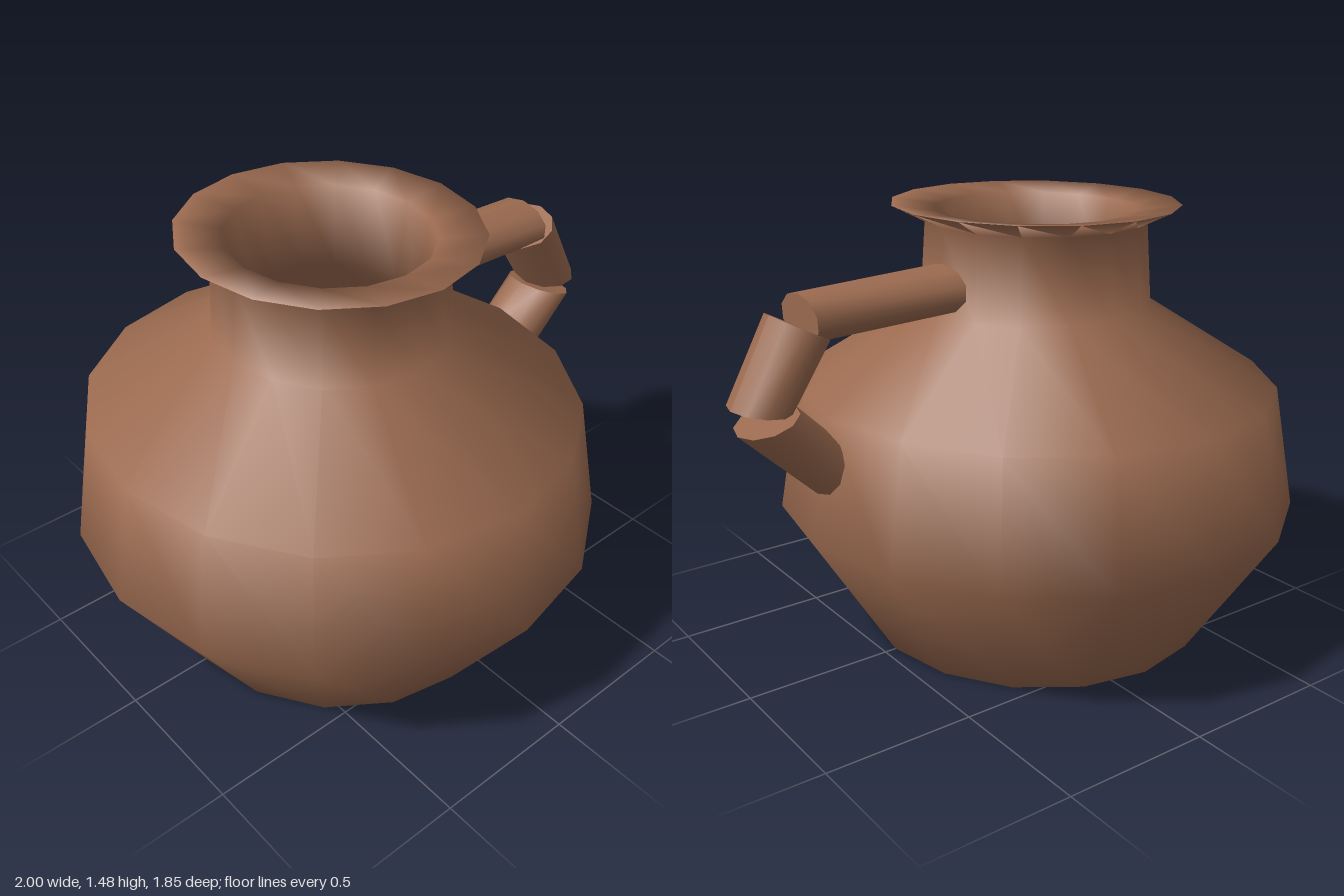
import * as THREE from 'three';

const clay = new THREE.MeshStandardMaterial({ color: 0x9c6b50 });
clay.name = 'clay';

// One handle segment: a ten-sided tube between two slanted ends.
// Each end is [inner corner, outer corner] in the x-y plane.
function handleSegment(name, start, end) {
  const geometry = new THREE.CylinderGeometry(1, 1, 1, 10).rotateY(Math.PI / 2);
  const p = geometry.attributes.position;
  for (let i = 0; i < p.count; i++) {
    const [inner, outer] = p.getY(i) > 0 ? start : end;
    const t = (p.getX(i) + 1) / 2;
    p.setXYZ(
      i,
      THREE.MathUtils.lerp(inner[0], outer[0], t),
      THREE.MathUtils.lerp(inner[1], outer[1], t),
      p.getZ(i) * 0.12
    );
  }
  geometry.computeVertexNormals();
  const mesh = new THREE.Mesh(geometry, clay);
  mesh.name = name;
  return mesh;
}

export function createModel() {
  const model = new THREE.Group();
  model.name = 'jug';

  // Hollow body: base, belly, shoulder, neck and flared rim, then the inner wall
  const profile = [
    [0, 0], [0.62, 0], [0.925, 0.465], [0.85, 0.875], [0.405, 1.145],
    [0.385, 1.42], [0.5, 1.475], [0.345, 1.455], [0.295, 1.19],
    [0.76, 0.82], [0.82, 0.48], [0.55, 0.1], [0, 0.1],
  ].map(([r, y]) => new THREE.Vector2(r, y));
  const body = new THREE.Mesh(new THREE.LatheGeometry(profile, 16), clay);
  body.name = 'body';
  body.scale.x = 0.945;
  body.position.x = -0.126;
  model.add(body);

  // Angular handle on the left side
  const handle = new THREE.Group();
  handle.name = 'handle';
  handle.add(
    handleSegment('upperHandle', [[0.23, 1.15], [0.23, 1.31]], [[0.75, 1.13], [0.757, 1.283]]),
    handleSegment('middleHandle', [[0.675, 1.135], [0.853, 1.23]], [[0.81, 0.935], [0.995, 0.96]]),
    handleSegment('lowerHandle', [[0.785, 0.94], [0.978, 0.877]], [[0.665, 0.82], [0.725, 0.636]])
  );
  model.add(handle);

  return model;
}
